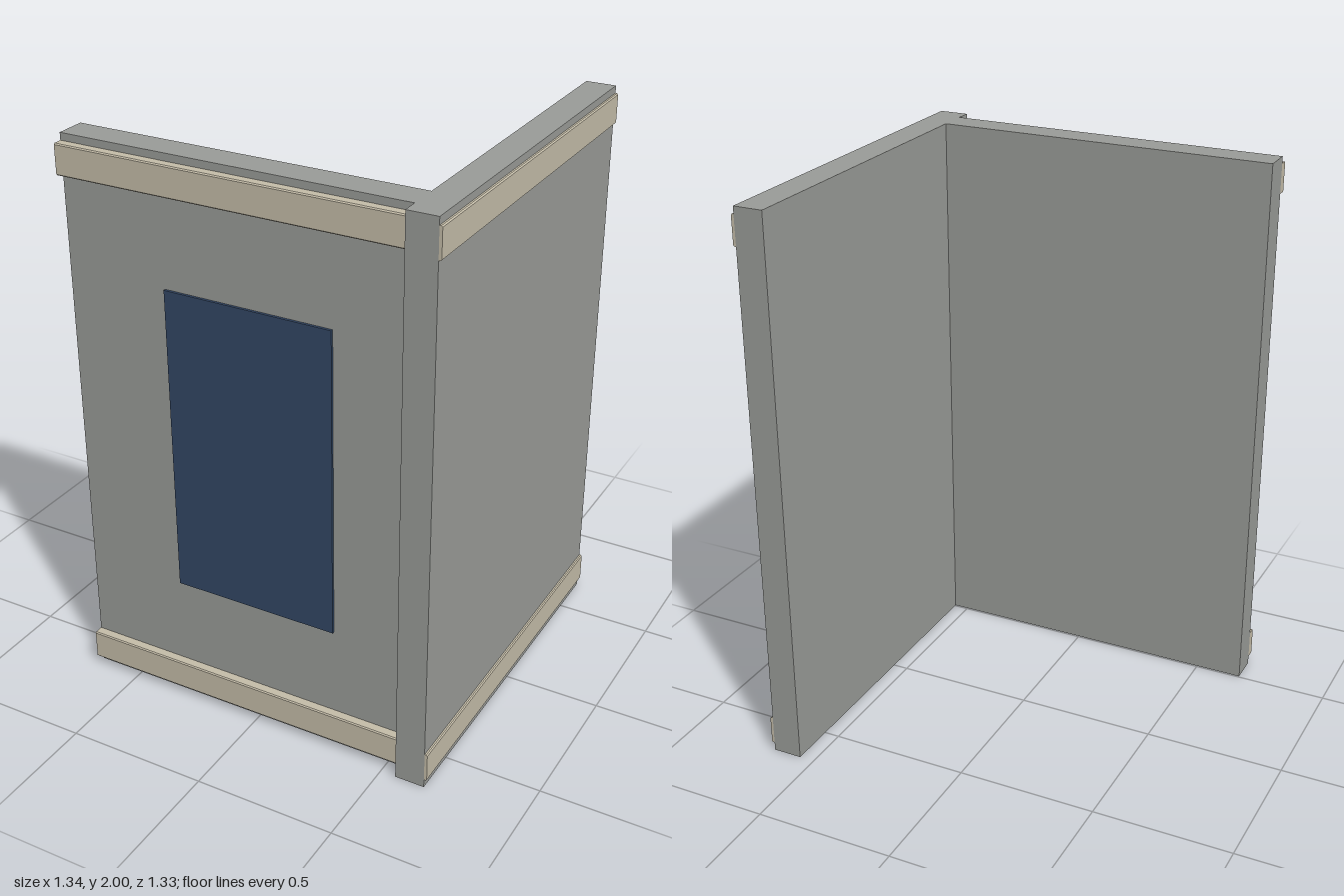
import * as THREE from 'three';

export function createModel() {
  const model = new THREE.Group();
  model.name = 'cornerWall';

  const material = (name, color) => {
    const m = new THREE.MeshStandardMaterial({ color });
    m.name = name;
    return m;
  };
  const concrete = material('grey concrete', 0x9b9d99);
  const cream = material('cream trim', 0xc6beaa);
  const blue = material('dark blue glass', 0x334866);

  // Box given by its minimum and maximum corners
  const box = (name, mat, min, max) => {
    const size = max.map((v, i) => v - min[i]);
    const mesh = new THREE.Mesh(new THREE.BoxGeometry(...size), mat);
    mesh.position.set(...max.map((v, i) => (v + min[i]) / 2));
    mesh.name = name;
    model.add(mesh);
  };

  // Two walls meeting at the front left corner
  box('frontWall', concrete, [-0.67, 0, 0.505], [0.555, 2, 0.61]);
  box('sideWall', concrete, [0.555, 0, -0.667], [0.66, 2, 0.667]);

  // Window plate on the front wall
  box('window', blue, [-0.305, 0.455, 0.61], [0.293, 1.55, 0.619]);

  // Trim strip: lightly chamfered profile, outward along +x, extruded along z
  const trimGeometry = (depth, length) => {
    const h = 0.0525, c = 0.004;
    const profile = new THREE.Shape([
      [0, -h], [depth - c, -h], [depth, -h + c],
      [depth, h - c], [depth - c, h], [0, h],
    ].map(([x, y]) => new THREE.Vector2(x, y)));
    return new THREE.ExtrudeGeometry(profile, { depth: length, bevelEnabled: false });
  };

  // Lower and upper trim on both outer faces
  for (const [label, y] of [['lower', 0.083], ['upper', 1.922]]) {
    const side = new THREE.Mesh(trimGeometry(0.01, 1.334), cream);
    side.position.set(0.66, y, -0.667);
    side.name = label + 'SideTrim';

    const front = new THREE.Mesh(trimGeometry(0.033, 1.225), cream);
    front.rotation.y = -Math.PI / 2;
    front.position.set(0.555, y, 0.61);
    front.name = label + 'FrontTrim';
    model.add(side, front);
  }
  return model;
}
